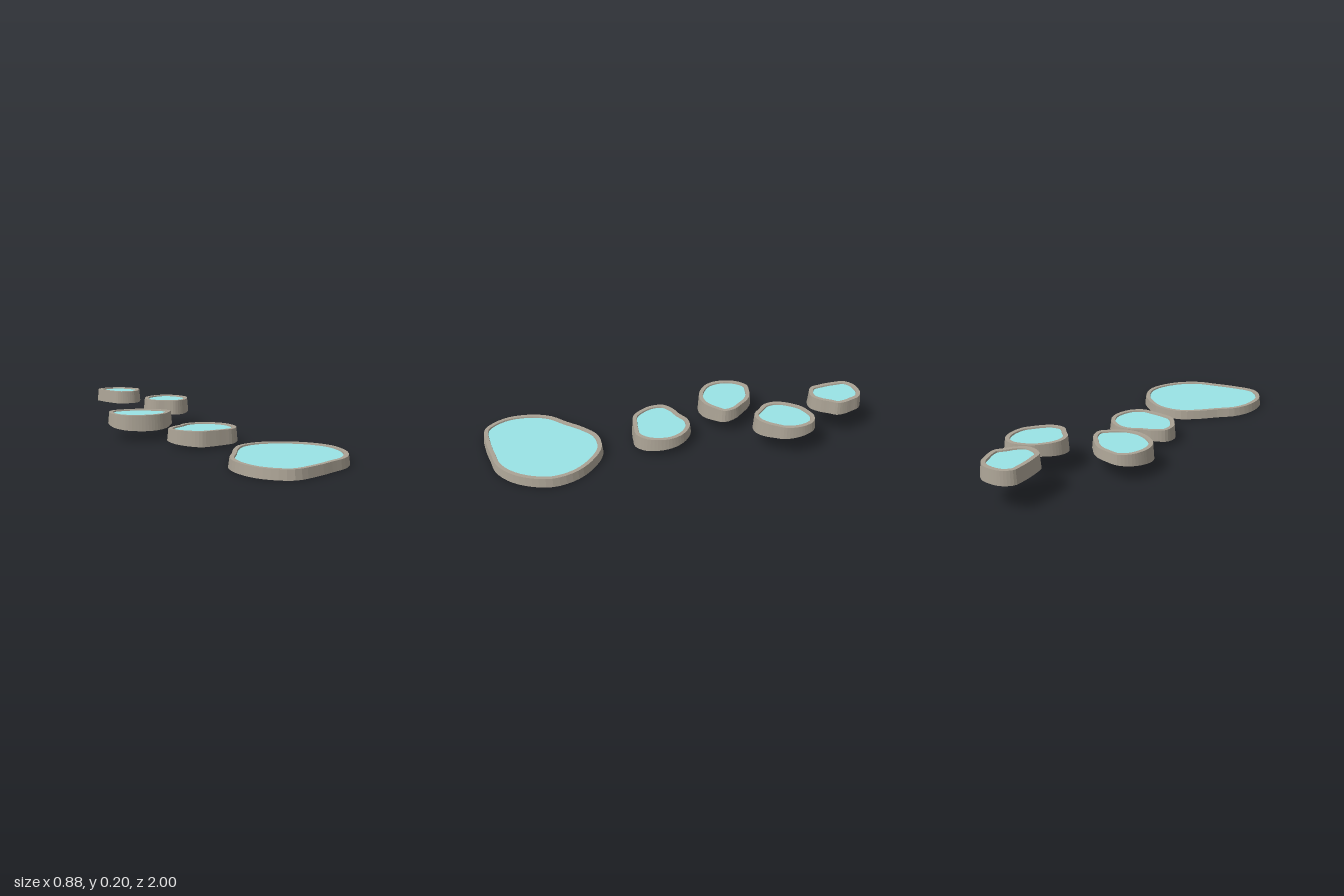
import * as THREE from 'three';

const stone = new THREE.MeshStandardMaterial({ color: 0xaaa294, side: THREE.DoubleSide });
stone.name = 'stone';
const water = new THREE.MeshStandardMaterial({ color: 0x99e3e5 });
water.name = 'water';

const SEGMENTS = 56;

// Each pool: centre, rim height, underside height at its front and back,
// and radii at equal angles, starting at the back and turning towards +x
const pools = [
  { name: 'largePool', x: 0.14, z: 0.67, top: 0.046, front: 0, back: 0,
    radii: [0.323, 0.319, 0.321, 0.317, 0.296, 0.281, 0.27, 0.26, 0.29, 0.356, 0.354, 0.322, 0.29, 0.257, 0.27, 0.307] },
  { name: 'secondPool', x: -0.04, z: 0.06, top: 0.09, front: 0.012, back: 0.045,
    radii: [0.158, 0.162, 0.168, 0.173, 0.176, 0.181, 0.177, 0.156, 0.155, 0.171, 0.176, 0.187, 0.19, 0.16, 0.138, 0.149] },
  { name: 'thirdPool', x: -0.27, z: -0.275, top: 0.135, front: 0.051, back: 0.086,
    radii: [0.14, 0.133, 0.134, 0.156, 0.175, 0.158, 0.154, 0.15, 0.148, 0.15, 0.16, 0.167, 0.171, 0.178, 0.177, 0.151] },
  { name: 'fourthPool', x: -0.025, z: -0.58, top: 0.169, front: 0.088, back: 0.122,
    radii: [0.16, 0.162, 0.149, 0.138, 0.133, 0.127, 0.137, 0.154, 0.16, 0.145, 0.149, 0.145, 0.136, 0.131, 0.137, 0.144] },
  { name: 'topPool', x: -0.225, z: -0.865, top: 0.198, front: 0.128, back: 0.131,
    radii: [0.135, 0.126, 0.112, 0.114, 0.122, 0.116, 0.13, 0.149, 0.149, 0.142, 0.118, 0.111, 0.118, 0.142, 0.146, 0.139] },
];

// Faceted band joining two closed rings
function band(name, a, b, material) {
  const points = [];
  for (let i = 0; i < SEGMENTS; i++) {
    const j = (i + 1) % SEGMENTS;
    points.push(a[i], b[i], a[j], a[j], b[i], b[j]);
  }
  const geometry = new THREE.BufferGeometry().setFromPoints(points);
  geometry.computeVertexNormals();
  const mesh = new THREE.Mesh(geometry, material);
  mesh.name = name;
  return mesh;
}

function makePool({ name, x, z, top, front, back, radii }) {
  const points = radii.map((r, i) => {
    const angle = (i / radii.length) * Math.PI * 2;
    return new THREE.Vector3(x + r * Math.sin(angle), 0, z - r * Math.cos(angle));
  });
  const curve = new THREE.CatmullRomCurve3(points, true);
  const bounds = new THREE.Box3().setFromPoints(points);

  // Outline moved inward by an inset and raised to a height that may depend on z
  const ring = (inset, heightAt) => Array.from({ length: SEGMENTS }, (_, i) => {
    const p = curve.getPointAt(i / SEGMENTS);
    const t = curve.getTangentAt(i / SEGMENTS);
    return new THREE.Vector3(p.x - t.z * inset, heightAt(p.z), p.z + t.x * inset);
  });
  const middle = (y) => Array(SEGMENTS).fill(new THREE.Vector3(x, y, z));
  const ground = (pz) => Math.max(0, THREE.MathUtils.mapLinear(pz, bounds.max.z, bounds.min.z, front, back));

  const floorY = top - 0.045;
  const waterY = top - 0.007;
  const base = ring(0, ground);
  const outerTop = ring(0.006, () => top);
  const innerTop = ring(0.027, () => top);
  const waterEdge = ring(0.029, () => waterY);
  const floorEdge = ring(0.003, () => floorY);

  const pool = new THREE.Group();
  pool.name = name;
  pool.add(
    band('outerWall', base, outerTop, stone),
    band('rim', outerTop, innerTop, stone),
    band('innerLip', innerTop, waterEdge, stone),
    band('waterSurface', waterEdge, middle(waterY), water),
    band('basinFloor', middle(floorY), floorEdge, stone),
  );
  return pool;
}

export function createModel() {
  const model = new THREE.Group();
  model.name = 'terracedPools';
  for (const pool of pools) model.add(makePool(pool));
  return model;
}
